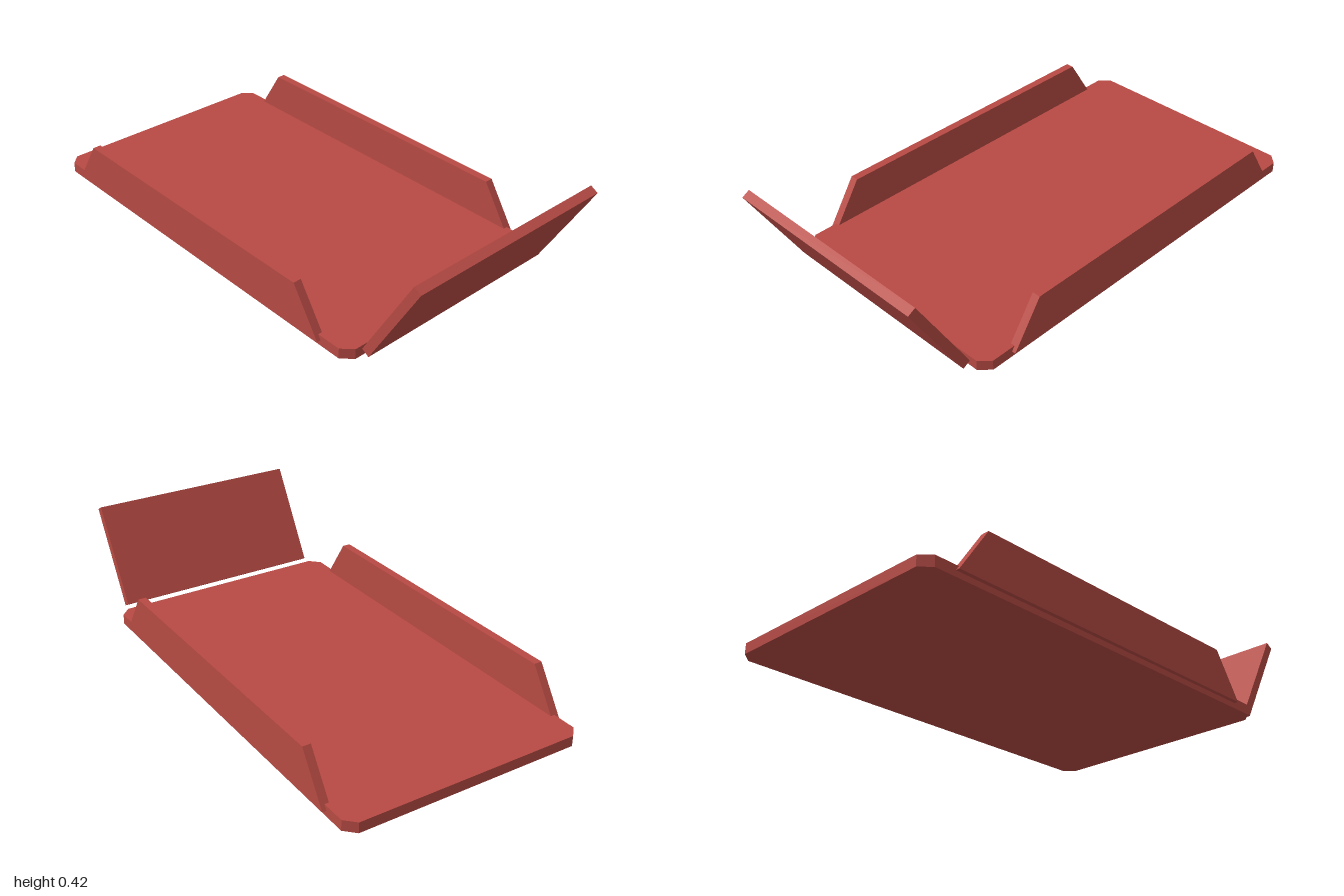
import * as THREE from 'three';

// Extrude an outline of [x, y] points to the given depth
function plate(points, depth, material, name) {
  const shape = new THREE.Shape(points.map(([x, y]) => new THREE.Vector2(x, y)));
  const mesh = new THREE.Mesh(new THREE.ExtrudeGeometry(shape, { depth, bevelEnabled: false }), material);
  mesh.name = name;
  return mesh;
}

export function createModel() {
  const model = new THREE.Group();
  model.name = 'openTray';
  const red = new THREE.MeshStandardMaterial({ color: 0xb84a44 });
  red.name = 'brick red';

  // Floor with clipped corners, laid flat
  const x0 = -1, x1 = 0.735, z = 0.495, c = 0.04;
  const floor = plate([
    [x0 + c, -z], [x1 - c, -z], [x1, -z + c], [x1, z - c],
    [x1 - c, z], [x0 + c, z], [x0, z - c], [x0, -z + c],
  ], 0.042, red, 'floor');
  floor.rotation.x = -Math.PI / 2;
  model.add(floor);

  // Sloped-end side walls
  const wallOutline = [[-0.875, 0.023], [0.605, 0.023], [0.485, 0.207], [-0.755, 0.207]];
  const wallDepth = 0.033;
  for (const [name, zStart] of [['frontWall', 0.478], ['backWall', -0.478 - wallDepth]]) {
    const wall = plate(wallOutline, wallDepth, red, name);
    wall.position.z = zStart;
    model.add(wall);
  }

  // Tilted end board, set slightly off the floor
  const endBoard = new THREE.Mesh(new THREE.BoxGeometry(0.43, 0.035, 0.89), red);
  endBoard.name = 'endBoard';
  endBoard.position.set(0.878, 0.229, 0);
  endBoard.rotation.z = Math.PI / 3;
  model.add(endBoard);

  return model;
}
